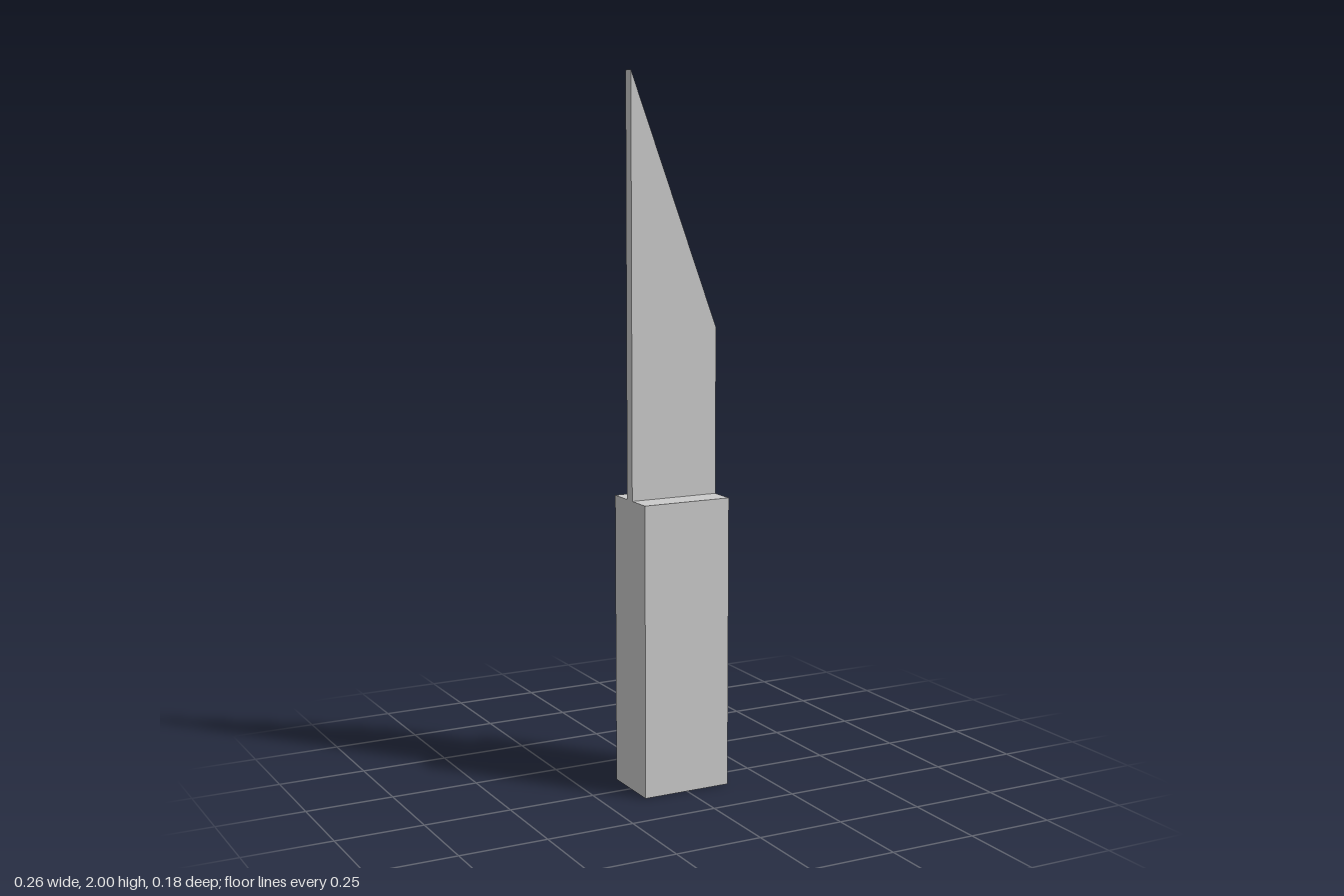
import * as THREE from 'three';

const HALF_WIDTH = 0.131;
const HANDLE_HEIGHT = 0.83;

export function createModel() {
  const model = new THREE.Group();
  model.name = 'knife';
  const material = new THREE.MeshStandardMaterial({ color: 0xcccccc, flatShading: true });

  // Handle: plain rectangular block
  const handle = new THREE.Mesh(
    new THREE.BoxGeometry(HALF_WIDTH * 2, HANDLE_HEIGHT, 0.184), material);
  handle.name = 'handle';
  handle.position.y = HANDLE_HEIGHT / 2;
  model.add(handle);

  // Blade: thin plate with a slanted tip, as wide as the handle
  const outline = new THREE.Shape([
    new THREE.Vector2(-HALF_WIDTH, HANDLE_HEIGHT),
    new THREE.Vector2(HALF_WIDTH, HANDLE_HEIGHT),
    new THREE.Vector2(HALF_WIDTH, 1.3),
    new THREE.Vector2(-HALF_WIDTH, 2),
  ]);
  const blade = new THREE.Mesh(
    new THREE.ExtrudeGeometry(outline, { depth: 0.032, bevelEnabled: false }), material);
  blade.name = 'blade';
  blade.position.z = -0.017;
  model.add(blade);

  return model;
}
